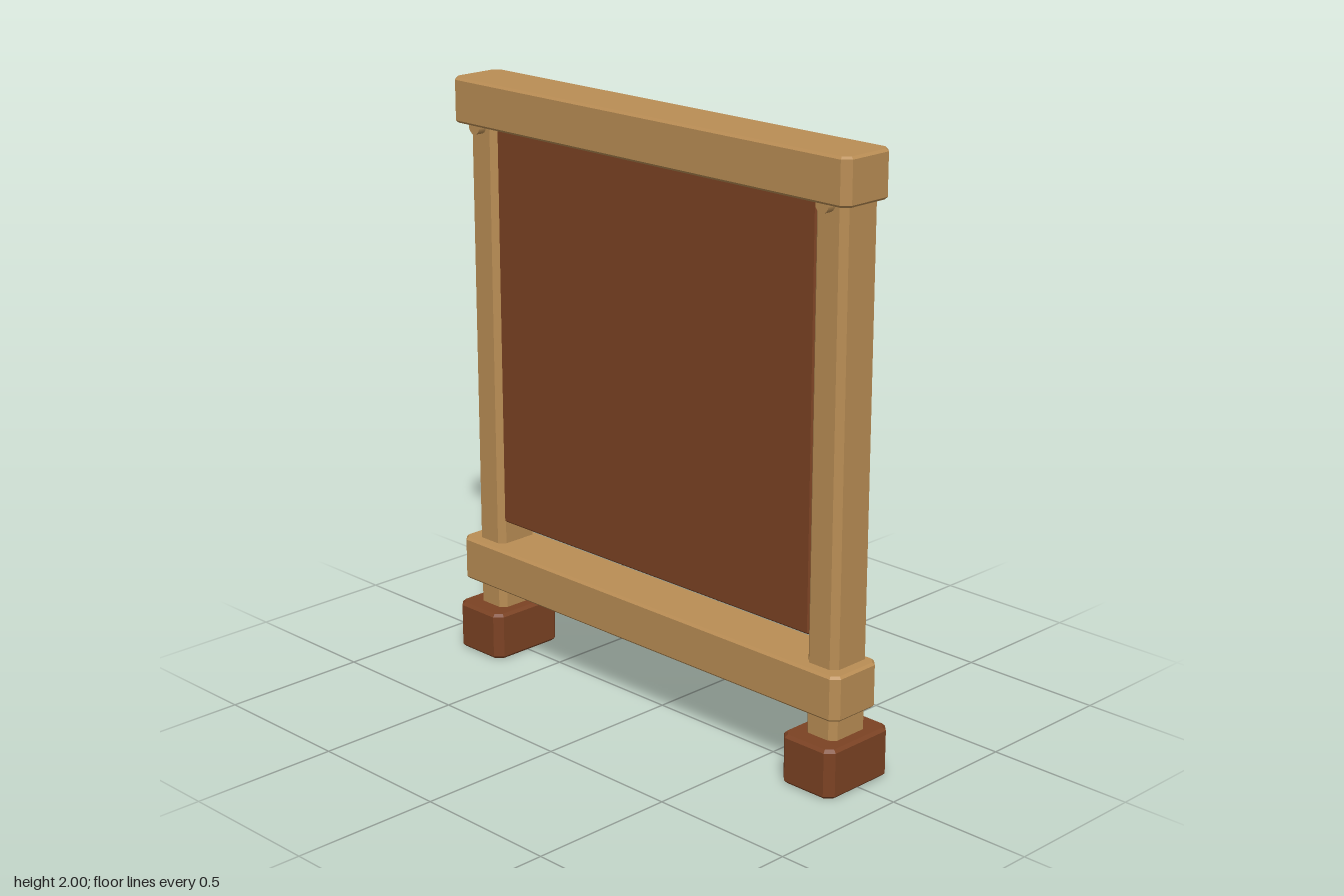
import * as THREE from 'three';

// Box between two corners: cut vertical edges (cut) and bevelled top and bottom (bevel)
function chamferBox([x0, y0, z0], [x1, y1, z1], cut, bevel) {
  const w = (x1 - x0) / 2 - bevel, d = (z1 - z0) / 2 - bevel, c = cut;
  const shape = new THREE.Shape([
    [w - c, -d], [w, -d + c], [w, d - c], [w - c, d],
    [-w + c, d], [-w, d - c], [-w, -d + c], [-w + c, -d],
  ].map(([x, y]) => new THREE.Vector2(x, y)));
  const g = new THREE.ExtrudeGeometry(shape, {
    depth: y1 - y0 - 2 * bevel, bevelEnabled: true,
    bevelSize: bevel, bevelThickness: bevel, bevelSegments: 1,
  });
  g.rotateX(-Math.PI / 2);
  g.translate((x0 + x1) / 2, y0 + bevel, (z0 + z1) / 2);
  return g;
}

export function createModel() {
  const model = new THREE.Group();
  model.name = 'standingScreen';
  const wood = new THREE.MeshStandardMaterial({ color: 0xb98d54 });
  wood.name = 'light wood';
  const brown = new THREE.MeshStandardMaterial({ color: 0x7b4223 });
  brown.name = 'dark brown';

  const add = (name, geometry, material) => {
    const mesh = new THREE.Mesh(geometry, material);
    mesh.name = name;
    model.add(mesh);
  };

  // Horizontal beams, set slightly forward of the posts
  add('topBeam', chamferBox([-0.86, 1.85, -0.085], [0.86, 2, 0.12], 0.02, 0.008), wood);
  add('bottomBeam', chamferBox([-0.86, 0.25, -0.085], [0.86, 0.4, 0.12], 0.02, 0.008), wood);

  // Infill panel hanging clear of the bottom beam
  add('panel', chamferBox([-0.7, 0.48, -0.066], [0.7, 1.843, 0.066], 0.004, 0.006), brown);

  // Posts, feet and pegs on both sides
  for (const [side, s] of [['left', 1], ['right', -1]]) {
    const x = 0.758 * s;
    add(side + 'Post', chamferBox([x - 0.062, 0.14, -0.08], [x + 0.062, 1.87, 0.08], 0.018, 0.004), wood);
    add(side + 'Foot', chamferBox([x - 0.106, 0, -0.143], [x + 0.106, 0.165, 0.143], 0.02, 0.01), brown);
    const peg = new THREE.CylinderGeometry(0.025, 0.025, 0.05, 16);
    peg.rotateX(Math.PI / 2);
    peg.translate(x, 1.845, 0.085);
    add(side + 'Peg', peg, wood);
  }
  return model;
}
